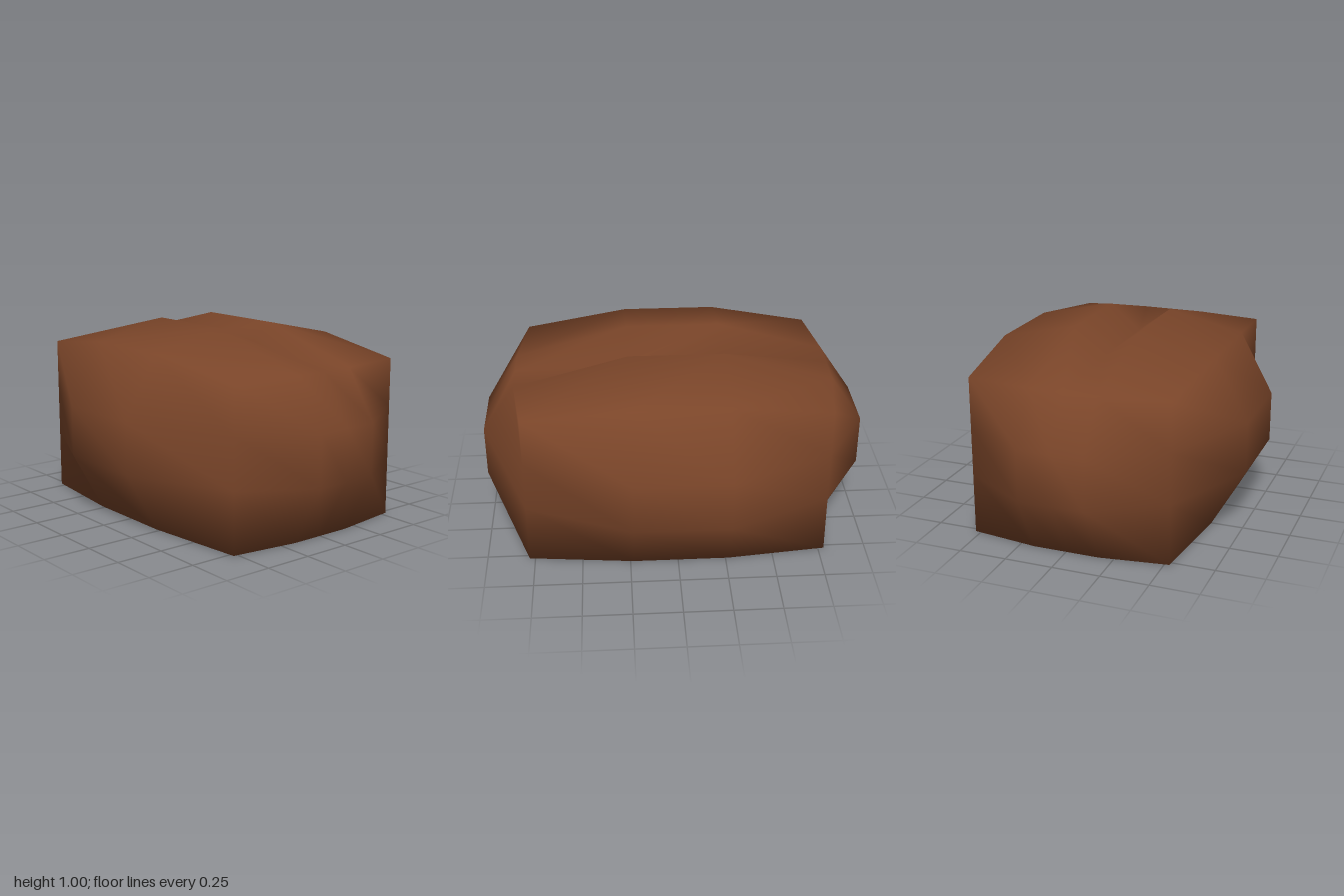
import * as THREE from 'three';
import { mergeVertices } from 'three/addons/utils/BufferGeometryUtils.js';

const brown = new THREE.MeshStandardMaterial({ color: 0x7a4529 });
brown.name = 'roastedBrown';
const black = new THREE.MeshStandardMaterial({ color: 0x050505 });
black.name = 'black';

// Swells a gridded block into a bean: each lattice point is placed by
// whether it lies on a face, an edge or a corner of the block.
function beanGeometry() {
  let geo = new THREE.BoxGeometry(4, 3, 3, 4, 3, 3);
  geo.deleteAttribute('uv');
  geo.deleteAttribute('normal');
  geo = mergeVertices(geo, 1e-3);
  const pos = geo.attributes.position;
  for (let n = 0; n < pos.count; n++) {
    const i = Math.round(pos.getX(n));          // -2 .. 2
    const j = Math.round(pos.getY(n) + 1.5);    // 0 .. 3
    const k = Math.round(pos.getZ(n) + 1.5);    // 0 .. 3
    const sideX = Math.abs(i) === 2;
    const topY = j === 3, endY = topY || j === 0;
    const endZ = k === 0 || k === 3;

    const halfX = sideX ? (endZ ? 0.527 : endY ? 0.583 : 0.76) : 0.173;
    const x = -Math.sign(i) * halfX;            // mirrored, so the quads split the other way

    const halfZ = sideX ? 0.78 : endY ? 0.83 : 1;
    const z = endZ ? (k === 3 ? halfZ : -halfZ) : (k === 2 ? 0.235 : -0.262);

    let y = [0, 0.317, 0.585, 0.997][j];
    if (topY) y = endZ ? 0.837 : sideX ? 0.906 : i === 0 ? 0.865 : 0.997; // groove at i = 0
    pos.setXYZ(n, x, y, z);
  }
  // Restore outward winding after the mirroring
  geo.index.array.reverse();
  geo.computeVertexNormals();
  return geo;
}

export function createModel() {
  const group = new THREE.Group();
  group.name = 'bean';

  const body = new THREE.Mesh(beanGeometry(), brown);
  body.name = 'groovedBody';
  body.position.y = 0.003;

  // Dark oval on the underside
  const oval = new THREE.Mesh(new THREE.CircleGeometry(1, 48), black);
  oval.name = 'undersideOval';
  oval.rotation.x = Math.PI / 2;
  oval.scale.set(0.53, 0.74, 1);
  oval.position.set(0.025, 0, 0.02);

  group.add(body, oval);
  return group;
}
